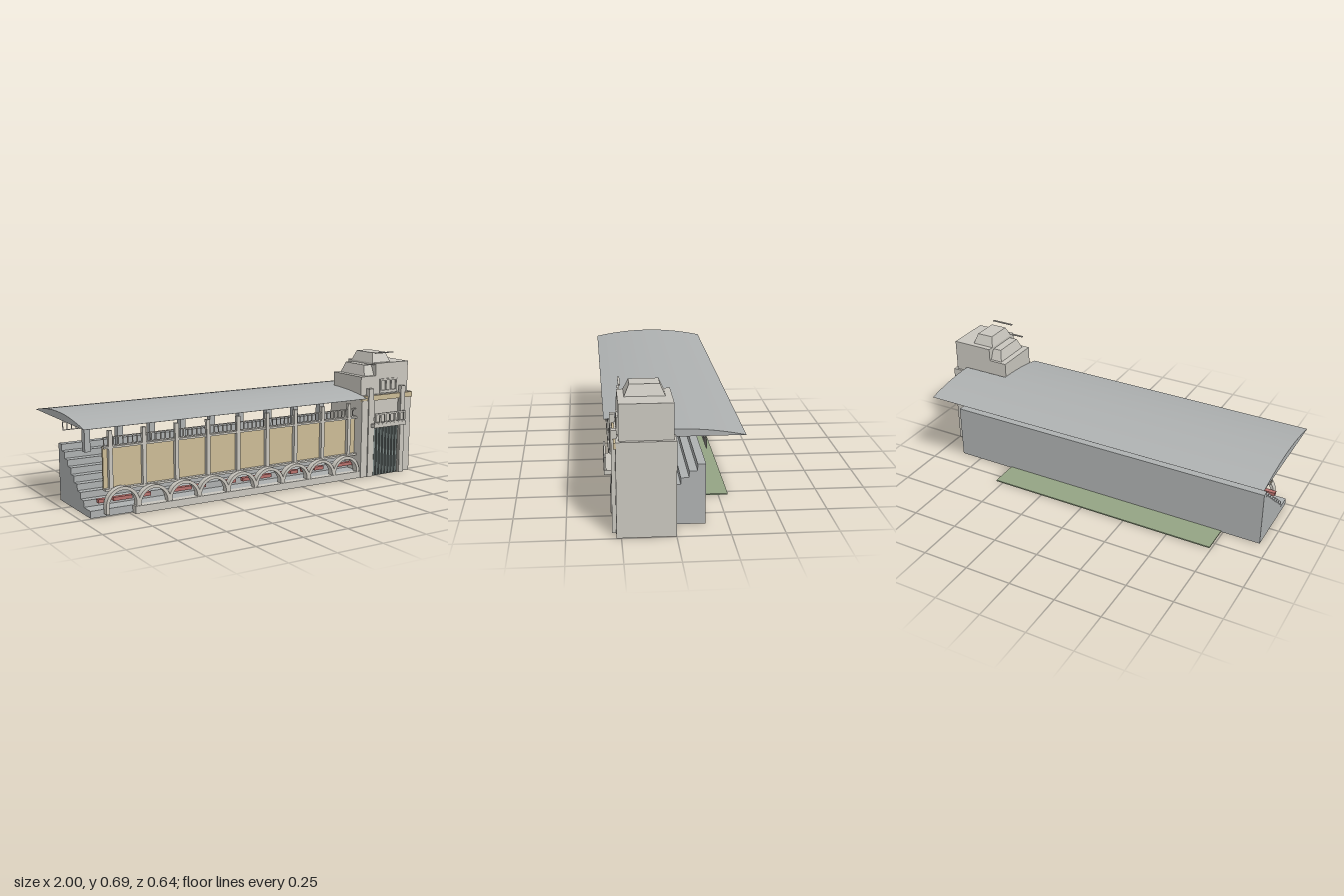
import * as THREE from 'three';

const mat = (name, color) => {
  const m = new THREE.MeshStandardMaterial({ color });
  m.name = name;
  return m;
};

export function createModel() {
  const model = new THREE.Group();
  model.name = 'grandstand';
  const stone = mat('stone', 0xc9c6be);
  const grey = mat('concreteGrey', 0xadb0b0);
  const tan = mat('tanPanel', 0xcbbb96);
  const dark = mat('doorGrey', 0x7b8684);
  const red = mat('seatRed', 0xb8706c);
  const green = mat('grass', 0x93a384);

  const add = (name, geo, m, parent = model) => {
    const mesh = new THREE.Mesh(geo, m);
    mesh.name = name;
    parent.add(mesh);
    return mesh;
  };
  // box given by its extents on each axis
  const box = (name, m, x0, x1, y0, y1, z0, z1, parent = model) => {
    const mesh = add(name, new THREE.BoxGeometry(x1 - x0, y1 - y0, z1 - z0), m, parent);
    mesh.position.set((x0 + x1) / 2, (y0 + y1) / 2, (z0 + z1) / 2);
    return mesh;
  };
  // outline of [z, y] points extruded along x
  const alongX = (name, m, points, x0, x1) => {
    const shape = new THREE.Shape(points.map(([z, y]) => new THREE.Vector2(-z, y)));
    const geo = new THREE.ExtrudeGeometry(shape, { depth: x1 - x0, bevelEnabled: false });
    geo.rotateY(Math.PI / 2).translate(x0, 0, 0);
    return add(name, geo, m);
  };
  // box whose top face is pulled in
  const hip = (name, x0, x1, y0, y1, z0, z1, inX, inZ) => {
    const mesh = box(name, stone, x0, x1, y0, y1, z0, z1);
    const p = mesh.geometry.attributes.position;
    for (let i = 0; i < p.count; i++) {
      if (p.getY(i) > 0) {
        p.setX(i, p.getX(i) - Math.sign(p.getX(i)) * inX);
        p.setZ(i, p.getZ(i) - Math.sign(p.getZ(i)) * inZ);
      }
    }
    mesh.geometry = mesh.geometry.toNonIndexed();
    mesh.geometry.computeVertexNormals();
  };

  // curved roof, notched around the tower
  const roofY = z => 0.447 + 0.036 * (1 - (z / 0.32) ** 2);
  const roof = (z0, z1, x0, x1) => {
    const pts = [[z0, 0.447]];
    for (let i = 0; i <= 24; i++) {
      const z = z0 + (z1 - z0) * i / 24;
      pts.push([z, roofY(z) + 0.0002]);
    }
    pts.push([z1, 0.447]);
    alongX('roof', grey, pts, x0, x1);
  };
  roof(-0.32, 0.316, -1, 0.65);
  roof(-0.32, 0.005, 0.65, 0.91);

  // stepped terrace
  const steps = [[-0.145, 0.001]];
  for (let i = 0; i < 9; i++) {
    const y = 0.297 - i * 0.0325;
    steps.push([-0.145 + i * 0.0387, y], [i === 8 ? 0.245 : -0.145 + (i + 1) * 0.0387, y]);
  }
  steps.push([0.245, 0.001]);
  alongX('terrace', grey, steps, -0.95, 0.87);
  box('lawn', green, -0.74, 0.54, 0, 0.007, -0.298, -0.11);
  box('frontPlinth', stone, -0.73, 0.645, 0, 0.037, 0.24, 0.28);

  // red seats behind the arches
  [[-0.9, -0.84], [-0.82, -0.72], [-0.67, -0.62], [-0.49, -0.39], [-0.36, -0.31], [-0.2, -0.13], [-0.09, -0.04],
    [-0.02, 0.09], [0.14, 0.18], [0.21, 0.26], [0.29, 0.34], [0.37, 0.43], [0.52, 0.63]]
    .forEach(([a, b]) => box('seat', red, a, b, 0.064, 0.082, 0.2, 0.225));

  // arcade of round arches
  const arch = new THREE.Shape();
  arch.moveTo(0.088, 0);
  arch.absarc(0, 0.04, 0.088, 0, Math.PI, false);
  arch.lineTo(-0.088, 0);
  arch.lineTo(-0.072, 0);
  arch.absarc(0, 0.04, 0.072, Math.PI, 0, true);
  arch.lineTo(0.072, 0);
  const archGeo = new THREE.ExtrudeGeometry(arch, { depth: 0.035, bevelEnabled: false, curveSegments: 20 });
  for (let i = 0; i < 9; i++) {
    add('arch', archGeo, stone).position.set(-0.792 + i * 0.1675, 0.015 - 0.013 * (i > 0), 0.24);
  }

  // tan wall, ledges, front posts and roof columns
  box('panelWall', tan, -0.87, 0.645, 0.13, 0.335, 0.21, 0.222);
  box('lowerLedge', stone, -0.87, 0.645, 0.122, 0.132, 0.208, 0.245);
  box('upperLedge', stone, -0.87, 0.645, 0.328, 0.338, 0.208, 0.24);
  for (let i = 0; i < 9; i++) {
    const x = -0.837 + i * 0.178;
    box('frontPost', stone, x - 0.01, x + 0.01, 0.12, 0.415, 0.222, 0.242);
    box('roofColumn', grey, x - 0.04, x - 0.01, 0.27, 0.455, -0.018, 0.018);
  }

  // open railings
  const railing = (name, m, x0, x1, y0, y1, z, t, count) => {
    const g = new THREE.Group();
    g.name = name;
    model.add(g);
    box('topRail', m, x0, x1, y1 - t, y1, z - t / 2, z + t / 2, g);
    box('bottomRail', m, x0, x1, y0, y0 + t, z - t / 2, z + t / 2, g);
    for (let i = 0; i <= count; i++) {
      const x = x0 + t / 2 + (x1 - x0 - t) * i / count;
      box('baluster', m, x - t / 2, x + t / 2, y0 + t, y1 - t, z - t / 2, z + t / 2, g);
    }
  };
  railing('rearRailing', stone, -0.925, 0.83, 0.357, 0.402, -0.15, 0.004, 75);
  railing('frontRailing', stone, -0.87, 0.645, 0.338, 0.385, 0.23, 0.005, 60);
  railing('balconyRailing', stone, 0.705, 0.92, 0.298, 0.36, 0.316, 0.009, 6);

  // tower body and stepped top
  box('towerBase', stone, 0.64, 0.997, 0, 0.457, 0, 0.272);
  box('towerLowTop', stone, 0.65, 0.755, 0.457, 0.56, 0.012, 0.258);
  box('towerHighTop', stone, 0.752, 0.98, 0.457, 0.628, 0.012, 0.258);
  hip('lowHip', 0.685, 0.765, 0.56, 0.618, 0.027, 0.24, 0.017, 0.025);
  hip('highHip', 0.75, 0.875, 0.628, 0.681, 0.042, 0.228, 0.017, 0.024);
  box('lowBar', stone, 0.683, 0.757, 0.621, 0.626, 0.243, 0.253);
  box('highBar', stone, 0.75, 0.877, 0.681, 0.686, 0.243, 0.253);

  // window surround with three slots
  const surround = new THREE.Shape();
  surround.moveTo(0.78, 0.46).lineTo(0.9, 0.46).lineTo(0.9, 0.54).lineTo(0.78, 0.54);
  for (let i = 0; i < 3; i++) {
    const x = 0.79 + i * 0.036;
    const hole = new THREE.Path();
    hole.moveTo(x, 0.475).lineTo(x, 0.53).lineTo(x + 0.028, 0.53).lineTo(x + 0.028, 0.475);
    surround.holes.push(hole);
  }
  add('windowSurround', new THREE.ExtrudeGeometry(surround, { depth: 0.007, bevelEnabled: false }), stone)
    .position.z = 0.258;

  // tower front: piers, jambs, tan band, balcony and folding door
  for (const [a, b] of [[0.683, 0.715], [0.91, 0.94]]) box('pier', stone, a, b, 0, 0.495, 0.265, 0.29);
  box('leftJamb', stone, 0.64, 0.727, 0, 0.43, 0.27, 0.284);
  box('rightJamb', stone, 0.903, 0.915, 0, 0.43, 0.27, 0.284);
  box('tanBand', tan, 0.64, 0.999, 0.426, 0.455, 0.27, 0.281);
  box('balconyFloor', stone, 0.7, 0.925, 0.28, 0.3, 0.272, 0.322);
  box('door', dark, 0.727, 0.903, 0, 0.28, 0.27, 0.275);
  for (let i = 0; i < 8; i++) {
    const x = 0.729 + i * 0.022;
    box('doorFold', dark, x, x + 0.012, 0, 0.279, 0.275, 0.283);
  }
  return model;
}
